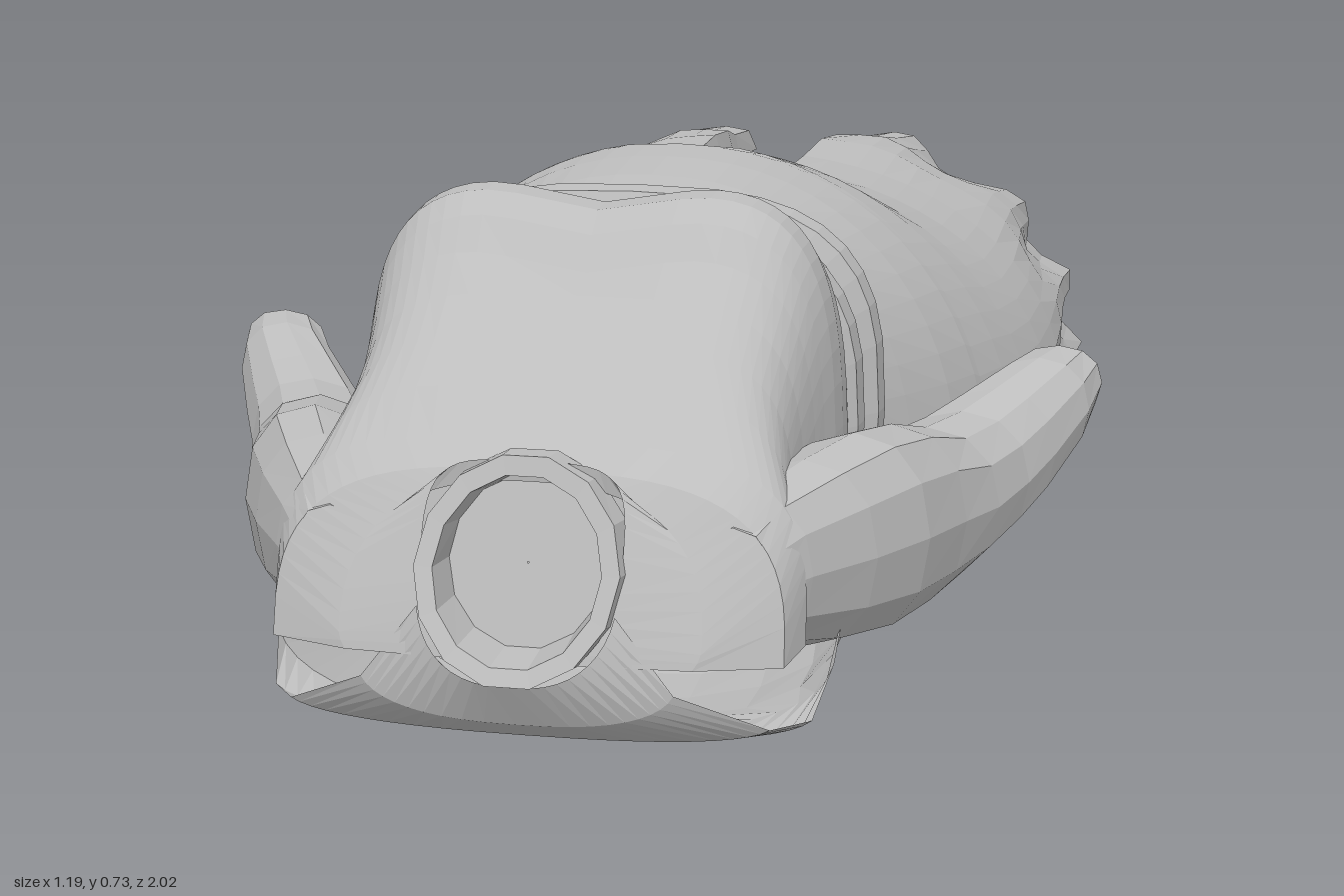
import * as THREE from 'three';

const cloth = new THREE.MeshStandardMaterial({ color: 0xbdbdbd, flatShading: true, side: THREE.DoubleSide });
cloth.name = 'grey cloth';

const bend = (v, p) => Math.sign(v) * Math.pow(Math.abs(v), p);

// Sheet through cross-sections along z. Each row: z, half width, top, bottom
// and optionally cx, yc (height of widest point), tilt (lean towards the back), from/to angles.
// 'angle' may replace the even spacing, 'shape' may adjust each point.
function loft(name, rows, { seg = 32, from = 0, to = Math.PI * 2, up = 1, down = 1, angle, shape } = {}) {
  const pos = [], idx = [];
  rows.forEach((r, j) => {
    const yc = r.yc ?? (r.top + r.bot) / 2;
    const a0 = r.from ?? from, a1 = r.to ?? to;
    for (let i = 0; i <= seg; i++) {
      const u = i / seg;
      const a = angle ? angle(r, u) : a0 + (a1 - a0) * u;
      const c = Math.cos(a), s = Math.sin(a);
      const e = s > 0 ? (r.up ?? up) : down;
      const p = new THREE.Vector3(
        (r.cx ?? 0) + r.w * bend(c, e),
        yc + (s > 0 ? r.top - yc : yc - r.bot) * bend(s, e),
        r.z);
      p.z -= (r.tilt ?? 0) * (p.y - 0.24);
      if (shape) shape(p, r, a, u);
      pos.push(p.x, p.y, p.z);
      if (j && i < seg) {
        const b = j * (seg + 1) + i, q = b - seg - 1;
        idx.push(q, q + 1, b, b, q + 1, b + 1);
      }
    }
  });
  const g = new THREE.BufferGeometry();
  g.setAttribute('position', new THREE.Float32BufferAttribute(pos, 3));
  g.setIndex(idx);
  g.computeVertexNormals();
  const m = new THREE.Mesh(g, cloth);
  m.name = name;
  return m;
}

const row = (z, w, top, bot, extra) => ({ z, w, top, bot, ...extra });

// Long skirt with a slit on top and a pleated, ragged hem
function makeSkirt() {
  const seg = 64;
  const shut = { yc: 0.27 };
  const slit = spread => ({ yc: 0.26, spread });
  const rows = [
    row(0.38, 0.295, 0.66, 0.155, { ...shut, up: 0.8 }),
    row(0.32, 0.312, 0.685, 0.14, { ...shut, up: 0.82 }),
    row(0.24, 0.355, 0.697, 0.105, { ...shut, up: 0.87 }),
    row(0.14, 0.4, 0.705, 0.062, { ...shut, up: 0.92 }),
    row(0.05, 0.427, 0.707, 0.04, shut),
    row(0.03, 0.432, 0.706, 0.037, slit(0.09)),
    row(-0.06, 0.452, 0.685, 0.026, slit(0.1)),
    row(-0.16, 0.468, 0.65, 0.02, slit(0.1)),
    row(-0.3, 0.48, 0.622, 0.017, slit(0.09)),
    row(-0.45, 0.48, 0.614, 0.018, slit(0.08)),
    row(-0.6, 0.475, 0.622, 0.02, slit(0.09)),
    row(-0.72, 0.468, 0.617, 0.014, slit(0.11)),
    row(-0.82, 0.465, 0.6, 0.006, slit(0.14)),
    row(-0.92, 0.468, 0.582, -0.003, slit(0.17)),
  ];
  return loft('skirt', rows, {
    seg, up: 0.96, down: 0.95,
    // spread the rows apart next to the slit; the outermost points make its turned-in edge
    angle(r, u) {
      if (r.spread === undefined) return Math.PI * (0.5 + 2 * u);
      const v = THREE.MathUtils.clamp(u, 0.75 / seg, 1 - 0.75 / seg);
      const f = 1 - 2 * v;
      return Math.PI * (0.5 + 2 * v) + r.spread * bend(f, 8);
    },
    shape(p, r, a, u) {
      const t = Math.pow(Math.max(0, (-0.45 - r.z) / 0.47), 1.4);
      const side = 0.6 + 0.4 * Math.abs(Math.cos(a));
      const fold = 0.5 + 0.5 * Math.sin(a * 15 + Math.sin(a * 4));
      const k = 1 - 0.12 * t * side * fold;
      p.x *= k;
      p.y = 0.26 + (p.y - 0.26) * k;
      if (r.z < -0.9) {
        const tip = Math.pow(Math.abs(u - 0.5) * 2, 14);
        p.z += 0.018 * Math.sin(a * 9) - 0.095 * tip;
      }
      if (r.spread !== undefined && (u === 0 || u === 1)) p.y -= 0.035;
    },
  });
}

// Bodice: front and back panels, joined along the sides but open at the shoulders
function makeBodice() {
  const g = new THREE.Group();
  g.name = 'bodice';
  const dip = (p, r) => {
    if (r.z < 0.62 && r.z > 0.43) p.y -= 0.028 * Math.exp(-Math.pow(p.x / 0.1, 2));
  };
  const wrap = d => ({ from: -d, to: Math.PI + d });
  const c = { yc: 0.28 };
  g.add(loft('frontPanel', [
    row(0.36, 0.293, 0.655, 0, c), row(0.4, 0.293, 0.655, 0, c),
    row(0.43, 0.297, 0.682, 0, c), row(0.46, 0.302, 0.714, 0, c),
    row(0.5, 0.303, 0.736, 0, c), row(0.54, 0.3, 0.733, 0, c),
    row(0.575, 0.293, 0.708, 0, c), row(0.61, 0.288, 0.668, 0, c),
    row(0.66, 0.283, 0.622, 0, c), row(0.72, 0.282, 0.58, 0, c),
    row(0.78, 0.292, 0.535, 0.12, c),
    row(0.86, 0.32, 0.487, 0.12, { yc: 0.265, tilt: 0.1, up: 0.55 }),
    row(0.92, 0.305, 0.462, 0.12, { yc: 0.255, tilt: 0.2, up: 0.65 }),
    row(0.96, 0.215, 0.45, 0.2, { yc: 0.28, tilt: 0.36, up: 0.8, ...wrap(0.3) }),
    row(0.985, 0.12, 0.475, 0.235, { yc: 0.355, tilt: 0.42, ...wrap(0.9) }),
  ], { seg: 32, to: Math.PI, up: 0.46, shape: dip }));
  const edge = d => ({ from: Math.PI + d, to: Math.PI * 2 - d });
  g.add(loft('backPanel', [
    row(0.36, 0.293, 0.5, 0.158, c), row(0.4, 0.294, 0.5, 0.145, c),
    row(0.45, 0.305, 0.5, 0.115, c), row(0.52, 0.325, 0.5, 0.1, c),
    row(0.62, 0.34, 0.5, 0.102, c), row(0.73, 0.345, 0.5, 0.113, c),
    row(0.79, 0.345, 0.5, 0.121, { yc: 0.25, ...edge(0.15) }),
    row(0.85, 0.335, 0.5, 0.132, { yc: 0.19, ...edge(0.25) }),
    row(0.91, 0.295, 0.5, 0.15, { yc: 0.19, ...edge(0.25) }),
    row(0.96, 0.19, 0.5, 0.18, { yc: 0.25, ...edge(0.25) }),
    row(0.99, 0.12, 0.475, 0.235, { yc: 0.355, tilt: 0.42, ...edge(0.25) }),
  ], { seg: 20, down: 0.8 }));
  return g;
}

// Neck collar with a rim and a recessed inner face
const makeCollar = () => loft('collar', [
  row(0.96, 0.127, 0.485, 0.23, { tilt: 0.42 }),
  row(1.0, 0.122, 0.488, 0.235, { tilt: 0.4 }),
  row(0.998, 0.1, 0.465, 0.255, { tilt: 0.4 }),
  row(0.93, 0.095, 0.455, 0.26, { tilt: 0.3 }),
  row(0.93, 0.001, 0.357, 0.355, { tilt: 0.3 }),
], { seg: 14 });

// Waist band made of two overlapping folds
function makeWaistBand() {
  const g = new THREE.Group();
  g.name = 'waistBand';
  for (const [z, w, top, bot] of [[0.37, 0.305, 0.672, 0.15], [0.31, 0.322, 0.695, 0.135]]) {
    g.add(loft('bandFold', [
      row(z + 0.03, w - 0.02, top - 0.02, bot + 0.015, { tilt: -0.05 }),
      row(z + 0.02, w, top, bot, { tilt: -0.05 }),
      row(z - 0.015, w + 0.003, top + 0.003, bot - 0.003, { tilt: -0.05 }),
      row(z - 0.03, w - 0.012, top - 0.012, bot + 0.012, { tilt: -0.05 }),
    ], { seg: 36, up: 0.65, down: 0.82 }));
  }
  return g;
}

// Tapered sleeve with a closed cuff; side is +1 for left, -1 for right
function makeSleeve(side) {
  const rows = [
    [0.17, 0.535, 0.001, 0.427, 0.429], [0.165, 0.535, 0.058, 0.38, 0.475],
    [0.22, 0.515, 0.067, 0.335, 0.47], [0.3, 0.468, 0.08, 0.28, 0.445],
    [0.36, 0.433, 0.088, 0.25, 0.428], [0.44, 0.398, 0.095, 0.228, 0.425],
    [0.53, 0.367, 0.096, 0.212, 0.45], [0.64, 0.338, 0.095, 0.212, 0.465],
    [0.74, 0.295, 0.09, 0.225, 0.455], [0.84, 0.25, 0.075, 0.25, 0.435],
    [0.89, 0.24, 0.05, 0.265, 0.41],
  ].map(([z, cx, w, bot, top]) => row(z, w, top, bot, { cx: cx * side }));
  return loft(side > 0 ? 'leftSleeve' : 'rightSleeve', rows, { seg: 12, up: 0.9, down: 0.9 });
}

export function createModel() {
  const model = new THREE.Group();
  model.name = 'dress';
  model.add(makeSkirt(), makeBodice(), makeCollar(), makeWaistBand(), makeSleeve(1), makeSleeve(-1));
  return model;
}
